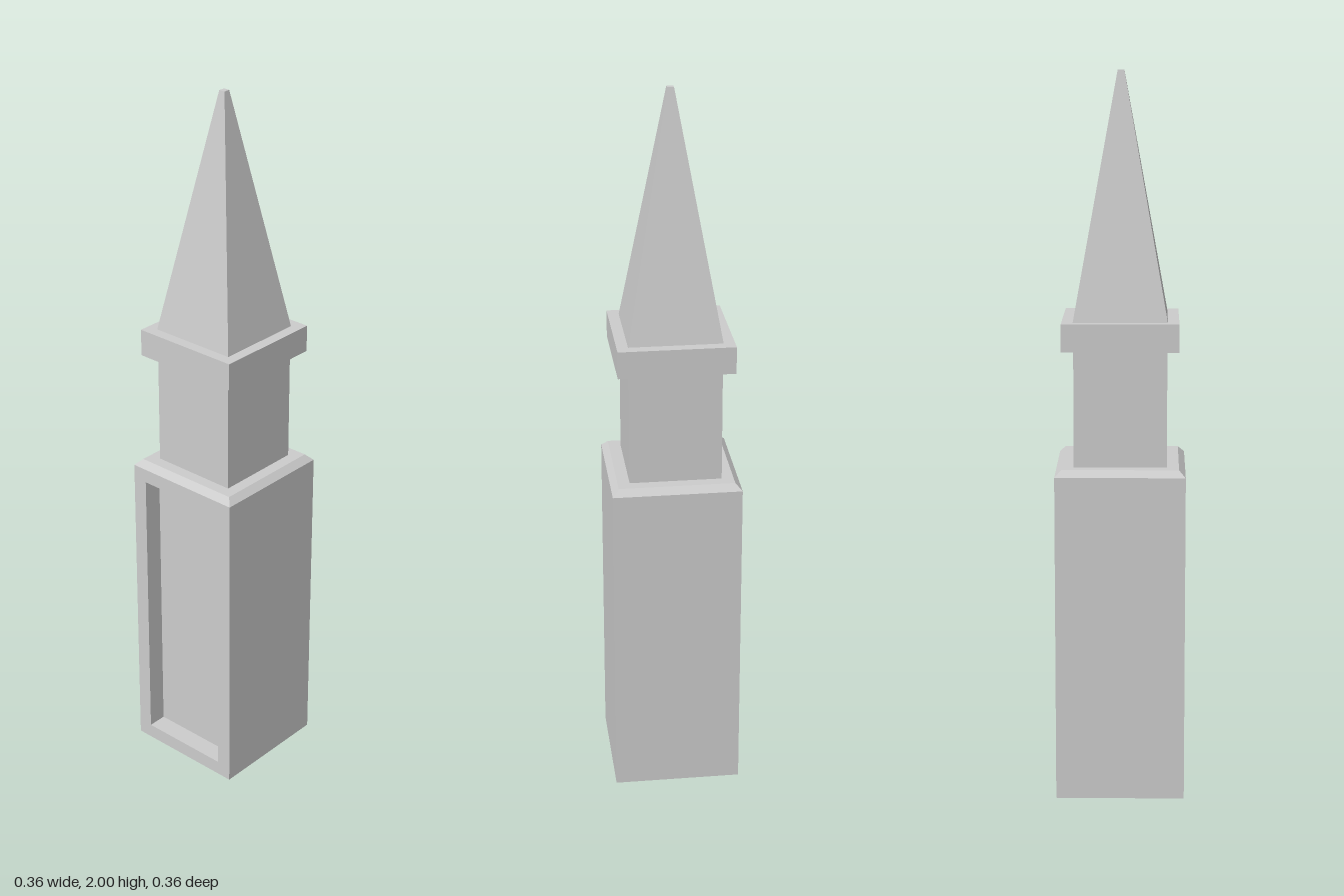
import * as THREE from 'three';

const material = new THREE.MeshStandardMaterial({ color: 0xcccccc, flatShading: true });

function addMesh(group, name, geometry, y = 0) {
  const mesh = new THREE.Mesh(geometry, material);
  mesh.name = name;
  mesh.position.y = y;
  group.add(mesh);
}

// Square block, optionally tapered, from height y0 to y1
function addTaper(group, name, halfBottom, halfTop, y0, y1) {
  const geometry = new THREE.CylinderGeometry(
    halfTop * Math.SQRT2, halfBottom * Math.SQRT2, y1 - y0, 4, 1).rotateY(Math.PI / 4);
  addMesh(group, name, geometry, (y0 + y1) / 2);
}

// Joins rectangles [halfWidth, bottom, top, z] in order and closes both ends
function loftRectangles(rects) {
  const loops = rects.map(([w, y0, y1, z]) => [[-w, y0, z], [w, y0, z], [w, y1, z], [-w, y1, z]]);
  const positions = [];
  const quad = (a, b, c, d) => positions.push(...a, ...b, ...c, ...a, ...c, ...d);
  for (let k = 0; k + 1 < loops.length; k++) {
    const p = loops[k], q = loops[k + 1];
    for (let i = 0; i < 4; i++) {
      const j = (i + 1) % 4;
      quad(p[i], p[j], q[j], q[i]);
    }
  }
  quad(...[...loops[0]].reverse());
  quad(...loops[loops.length - 1]);
  const geometry = new THREE.BufferGeometry();
  geometry.setAttribute('position', new THREE.Float32BufferAttribute(positions, 3));
  geometry.computeVertexNormals();
  return geometry;
}

export function createModel() {
  const group = new THREE.Group();
  group.name = 'spiredPillar';

  // Pedestal with a sunken panel in the front face
  const half = 0.178, shoulder = 0.917;
  addMesh(group, 'pedestal', loftRectangles([
    [half, 0, shoulder, -half],
    [half, 0, shoulder, half],
    [0.135, 0.042, 0.877, half],
    [0.135, 0.042, 0.877, half - 0.055],
  ]));

  // Bevelled shoulder, shaft, collar and spire
  addTaper(group, 'pedestalBevel', half, 0.16, shoulder, 0.935);
  addTaper(group, 'shaft', 0.127, 0.127, 0.935, 1.257);
  addTaper(group, 'collar', 0.159, 0.159, 1.257, 1.333);
  addTaper(group, 'spire', 0.128, 0.009, 1.333, 2);

  return group;
}
